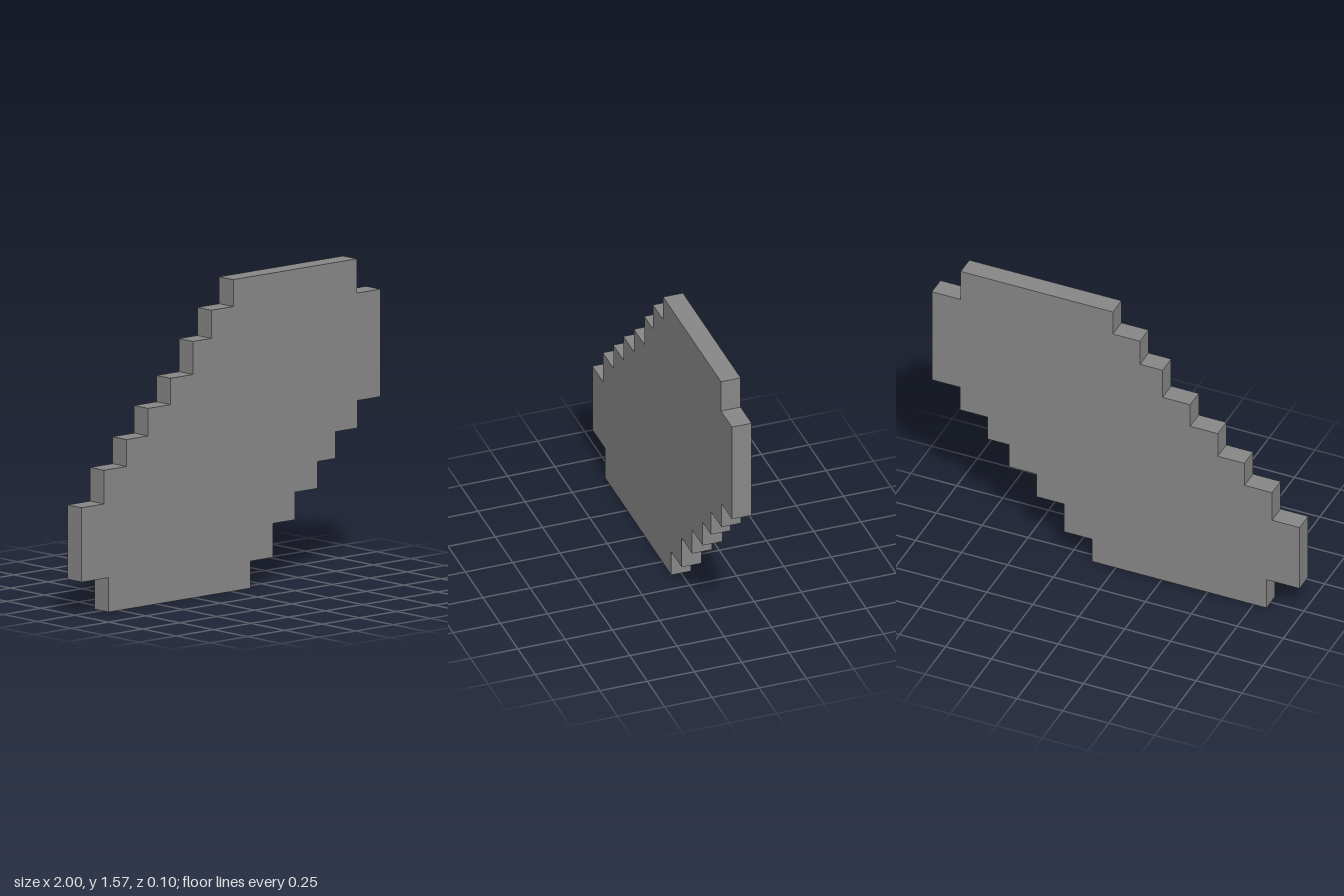
import * as THREE from 'three';

const DEPTH = 0.104;

// Corners of the staircase outline, counter-clockwise; each pair is a
// vertical riser's x and the height reached at its end.
const risers = [
  // lower right stairs, going up
  [0.13, 0.137], [0.28, 0.308], [0.43, 0.447], [0.58, 0.583], [0.698, 0.718], [0.848, 0.857],
  // right end and upper notch
  [1, 1.4], [0.843, 1.573],
  // upper left stairs, going down
  [0.015, 1.437], [-0.132, 1.295], [-0.255, 1.128], [-0.405, 0.995], [-0.555, 0.856], [-0.7, 0.72], [-0.85, 0.55],
  // left end and lower notch
  [-1, 0.174], [-0.82, 0],
];

export function createModel() {
  const group = new THREE.Group();
  group.name = 'steppedSlab';

  // Walk the risers: tread across to x, then riser to y
  const points = [];
  let y = 0;
  for (const [x, nextY] of risers) {
    points.push(new THREE.Vector2(x, y), new THREE.Vector2(x, nextY));
    y = nextY;
  }

  // Flat plate of constant thickness
  const geometry = new THREE.ExtrudeGeometry(new THREE.Shape(points), { depth: DEPTH, bevelEnabled: false });
  geometry.translate(0, 0, -DEPTH / 2);

  const slab = new THREE.Mesh(geometry, new THREE.MeshStandardMaterial({ color: 0x878787, flatShading: true }));
  slab.name = 'slab';
  group.add(slab);
  return group;
}
